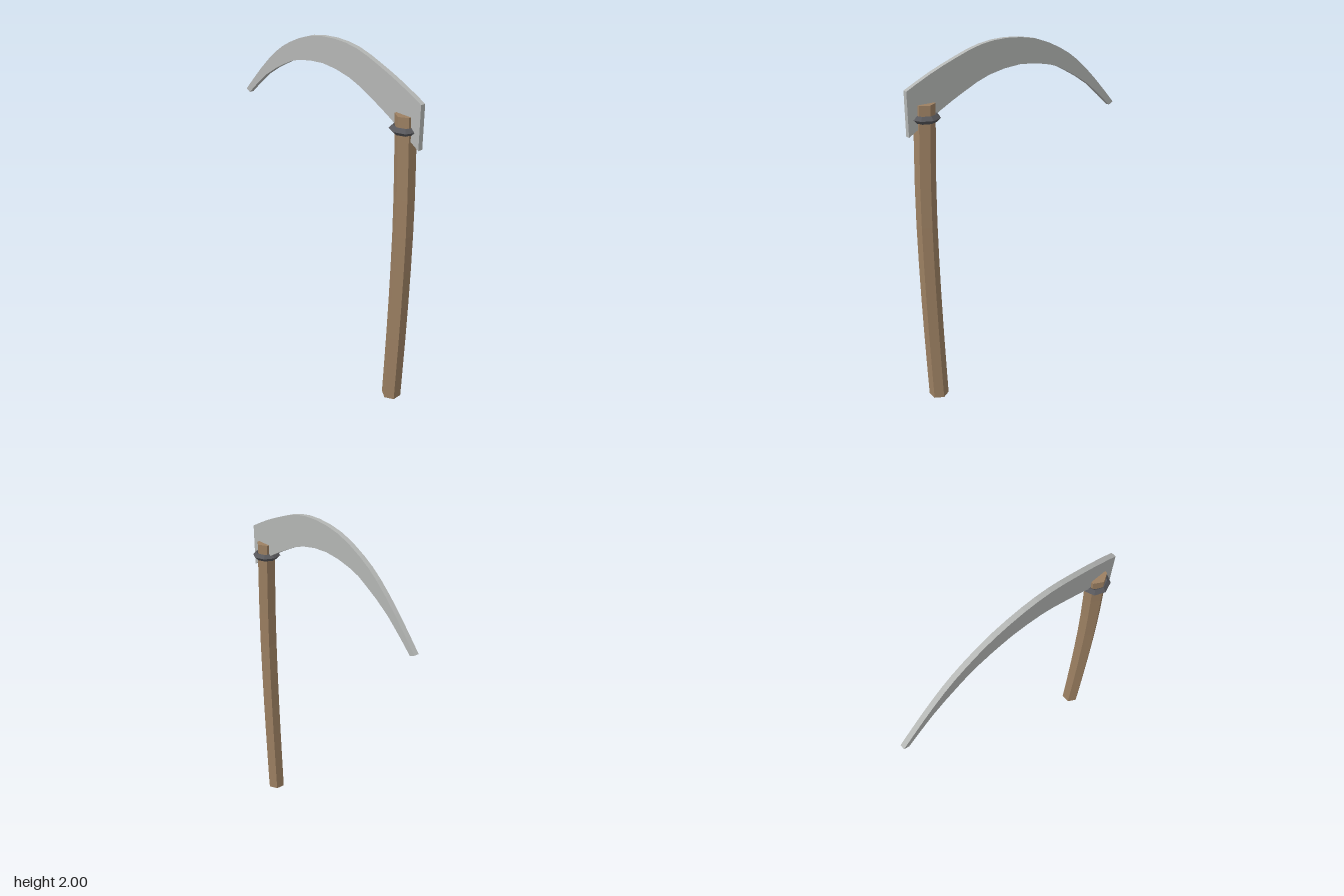
import * as THREE from 'three';

const mat = (name, color) => {
  const m = new THREE.MeshStandardMaterial({ color, flatShading: true });
  m.name = name;
  return m;
};
const spline = (pts) => new THREE.SplineCurve(pts.map(([x, y]) => new THREE.Vector2(x, y)));

export function createModel() {
  const group = new THREE.Group();
  const wood = mat('wood', 0x9c8062);
  const steel = mat('steel', 0xb4b6b4);
  const iron = mat('dark iron', 0x58585c);

  const add = (name, geometry, material) => {
    const mesh = new THREE.Mesh(geometry, material);
    mesh.name = name;
    group.add(mesh);
    return mesh;
  };

  // Hexagonal handle, gently bowed towards the heel of the blade
  const height = 1.735;
  const handle = new THREE.CylinderGeometry(0.055, 0.055, height, 6, 8);
  handle.translate(0, height / 2, 0);
  const pos = handle.attributes.position;
  for (let i = 0; i < pos.count; i++) {
    const y = pos.getY(i);
    const t = y < 1.05 ? y / 1.05 : (height - y) / (height - 1.05);
    pos.setX(i, pos.getX(i) + 0.585 + 0.022 * Math.sin((t * Math.PI) / 2));
  }
  add('handle', handle, wood);

  // Faceted collar holding the blade
  const collar = new THREE.TorusGeometry(0.06, 0.02, 4, 8);
  collar.rotateX(Math.PI / 2);
  add('collar', collar, iron).position.set(0.585, 1.663, 0);

  // Curved blade: flat plate between the spine and the cutting edge
  const spine = spline([
    [-0.69, 1.535], [-0.54, 1.695], [-0.4, 1.823], [-0.27, 1.907], [-0.1, 1.976],
    [0.087, 2.0], [0.25, 1.986], [0.4, 1.939], [0.55, 1.88], [0.69, 1.813],
  ]).getPoints(18);
  const edge = spline([
    [0.69, 1.58], [0.5, 1.69], [0.35, 1.765], [0.2, 1.825], [0, 1.852],
    [-0.2, 1.823], [-0.32, 1.773], [-0.49, 1.67], [-0.66, 1.52],
  ]).getPoints(16);
  const blade = new THREE.ExtrudeGeometry(new THREE.Shape([...spine, ...edge]), {
    depth: 0.028,
    bevelEnabled: false,
  });
  blade.translate(0, 0, -0.014);
  add('blade', blade, steel);

  return group;
}
